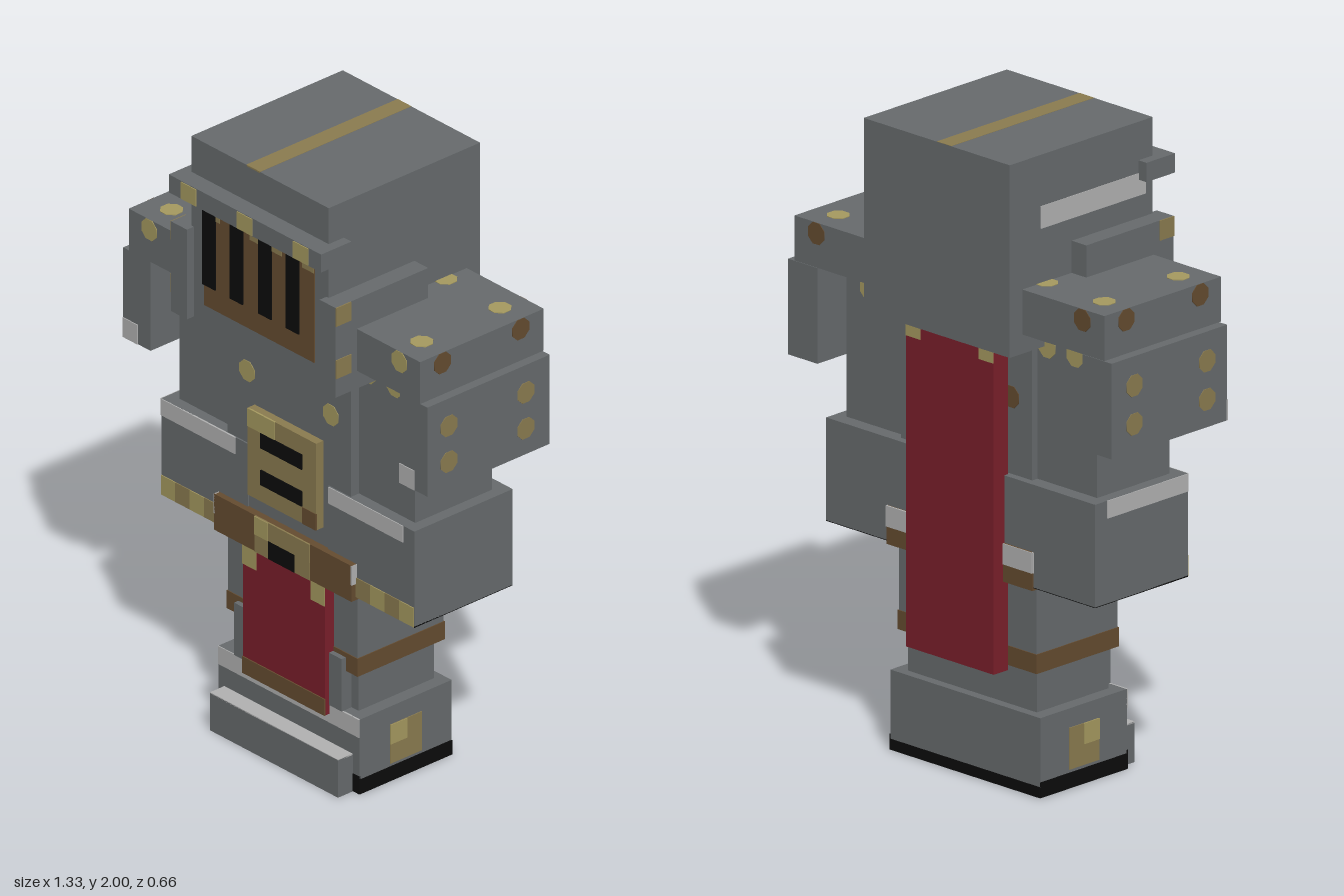
import * as THREE from 'three';

const mat = (name, color) => {
  const m = new THREE.MeshStandardMaterial({ color });
  m.name = name;
  return m;
};

export function createModel() {
  const steel = mat('steel', 0x676b6d);
  const light = mat('polished steel', 0xb2b2b2);
  const gold = mat('bright brass', 0xa69a60);
  const brass = mat('dark brass', 0x8b7c50);
  const brown = mat('brown leather', 0x654c30);
  const red = mat('red cloth', 0x7b1f2b);
  const black = mat('black', 0x0b0b0b);

  const model = new THREE.Group();
  model.name = 'armour';
  const T = 0.004; // thickness of painted plates

  // Box given by its extents
  const box = (name, m, x0, x1, y0, y1, z0, z1) => {
    const mesh = new THREE.Mesh(new THREE.BoxGeometry(x1 - x0, y1 - y0, z1 - z0), m);
    mesh.position.set((x0 + x1) / 2, (y0 + y1) / 2, (z0 + z1) / 2);
    mesh.name = name;
    model.add(mesh);
    return mesh;
  };
  // Same box on the left (s = 1) or the right (s = -1)
  const sided = (s, name, m, x0, x1, ...rest) =>
    s > 0 ? box(name, m, x0, x1, ...rest) : box(name, m, -x1, -x0, ...rest);
  // Thin plates facing front or back (d = 1 / -1), or sideways
  const plateZ = (name, m, x0, x1, y0, y1, z, d = 1) =>
    box(name, m, x0, x1, y0, y1, d > 0 ? z - T : z - T / 2, d > 0 ? z + T / 2 : z + T);
  const plateX = (name, m, x, y0, y1, z0, z1) =>
    box(name, m, x - T / 2, x + T / 2, y0, y1, z0, z1);
  // Octagonal rivet on a face whose normal is along an axis
  const rivetGeo = new THREE.CylinderGeometry(0.036, 0.036, T, 8).rotateY(Math.PI / 8);
  const rivet = (m, x, y, z, axis) => {
    const r = new THREE.Mesh(rivetGeo, m);
    r.position.set(x, y, z);
    if (axis === 'z') r.rotation.x = Math.PI / 2;
    if (axis === 'x') r.rotation.z = Math.PI / 2;
    r.name = 'rivet';
    model.add(r);
  };

  // Helmet
  box('helmet', steel, -0.3, 0.3, 1.4, 2, -0.33, 0.27);
  box('helmetStripe', brass, -0.06, 0, 2 - T, 2 + T / 4, -0.33, 0.27);
  plateX('helmetSideShine', light, -0.3, 1.77, 1.84, -0.2, 0.24);
  plateZ('visor', brown, -0.24, 0.24, 1.46, 1.82, 0.272);
  for (const [a, b] of [[-0.19, -0.17], [-0.04, 0], [0.055, 0.1], [0.19, 0.24]])
    plateZ('visorTrim', brass, a, b, 1.76, 1.82, 0.274);
  for (const x of [-0.217, -0.097, 0.028, 0.148])
    plateZ('visorSlot', black, x - 0.028, x + 0.028, 1.53, 1.82, 0.276);
  box('brim', steel, -0.333, 0.333, 1.82, 1.88, 0.21, 0.33);
  for (const x of [-0.245, 0, 0.245])
    plateZ('brimStud', gold, x - 0.033, x + 0.033, 1.822, 1.878, 0.331);

  // Torso
  box('torso', steel, -0.27, 0.27, 0.65, 1.4, -0.205, 0.155);
  plateZ('chestPlate', brass, -0.15, 0.15, 0.83, 1.12, 0.182);
  box('chestPlateBody', brass, -0.15, 0.15, 0.83, 1.12, 0.15, 0.18);
  plateZ('plateHighlight', gold, -0.15, -0.03, 1.06, 1.12, 0.184);
  plateZ('plateCorner', brown, 0.09, 0.15, 0.83, 0.885, 0.184);
  for (const y of [1.035, 0.912])
    plateZ('plateSlot', black, -0.09, 0.09, y - 0.025, y + 0.025, 0.186);

  // Cape
  box('cape', red, -0.18, 0.18, 0.37, 1.4, -0.275, -0.215);

  // Belt and buckle
  box('belt', brown, -0.3, 0.3, 0.65, 0.77, -0.235, 0.18);
  plateZ('beltBackShine', light, -0.3, 0.3, 0.705, 0.77, -0.236, -1);
  plateZ('buckle', brass, -0.12, 0.12, 0.71, 0.77, 0.182);
  plateZ('buckleHighlight', gold, -0.12, -0.06, 0.71, 0.77, 0.184);
  plateZ('buckleGap', black, -0.06, 0.055, 0.65, 0.71, 0.182);

  // Front cloth
  box('loincloth', red, -0.18, 0.18, 0.22, 0.65, 0.14, 0.175);
  plateZ('clothHem', brown, -0.18, 0.18, 0.22, 0.275, 0.177);

  // Legs
  box('thighs', steel, -0.283, 0.283, 0.38, 0.66, -0.2, 0.14);
  box('legBand', brown, -0.286, 0.286, 0.38, 0.44, -0.203, 0.143);
  box('shins', steel, -0.265, 0.265, 0.2, 0.38, -0.18, 0.12);

  // Boots
  box('boots', steel, -0.308, 0.308, 0, 0.25, -0.21, 0.155);
  box('toeCap', steel, -0.28, 0.28, 0, 0.125, 0.15, 0.215);
  box('toeShine', light, -0.28, 0.28, 0.122, 0.127, 0.158, 0.215);
  plateZ('bootShine', light, -0.308, 0.308, 0.19, 0.25, 0.156);
  plateZ('soleFront', black, -0.308, 0.308, 0.002, 0.06, 0.156);
  plateZ('soleBack', black, -0.308, 0.308, 0.002, 0.035, -0.211, -1);

  for (const s of [1, -1]) {
    // Cheek guards
    sided(s, 'cheekGuard', steel, 0.29, 0.36, 1.4, 1.7, -0.07, 0.297);
    for (const y of [1.67, 1.495]) plateX('cheekStud', brass, s * 0.361, y - 0.032, y + 0.03, 0.237, 0.297);

    // Shoulder pads with rivets
    sided(s, 'shoulderPad', steel, 0.24, 0.637, 1.46, 1.6, -0.277, 0.213);
    for (const z of [0.125, -0.185]) {
      rivet(gold, s * 0.547, 1.6, z, 'y');
      rivet(brown, s * 0.637, 1.566, z, 'x');
    }
    rivet(gold, s * 0.31, 1.6, -0.185, 'y');
    rivet(gold, s * 0.547, 1.566, 0.213, 'z');
    rivet(brown, s * 0.547, 1.566, -0.277, 'z');

    // Hanging arm plates
    sided(s, 'armPlate', steel, 0.545, 0.665, 1.16, 1.458, -0.275, 0.21);
    for (const z of [0.125, -0.18]) for (const y of [1.367, 1.247]) rivet(brass, s * 0.665, y, z, 'x');
    const shineX = s > 0 ? 0.545 : -0.665;
    plateZ('armPlateShine', light, shineX, shineX + 0.065, 1.16, 1.225, 0.211);

    // Arms and gauntlets
    sided(s, 'arm', steel, 0.27, 0.515, 0.9, 1.47, -0.183, 0.122);
    sided(s, 'gauntlet', steel, 0.175, 0.553, 0.66, 0.98, -0.23, 0.16);
    const gx = s > 0 ? 0.18 : -0.553;
    plateZ('gauntletShine', light, gx, gx + 0.325, 0.925, 0.98, 0.161);
    for (let i = 0; i < 4; i++) {
      const x = 0.3 + i * 0.063;
      const a = s > 0 ? x : -x - 0.063;
      plateZ('gauntletTrim', i % 2 ? gold : brass, a, a + 0.063, 0.66, 0.725, 0.161);
    }
    sided(s, 'gauntletUnderside', black, 0.175, 0.553, 0.658, 0.662, -0.23, 0.16);
    sided(s, 'beltSideShine', light, 0.297, 0.302, 0.705, 0.77, -0.235, 0.18);

    // Torso rivets, front and back
    for (const [z, az] of [[0.155, 0.122], [-0.205, -0.183]]) {
      rivet(z > 0 ? gold : brown, s * 0.183, 1.22, z, 'z');
      rivet(gold, s * 0.425, 1.4, az, 'z');
      rivet(gold, s * 0.31, 1.4, az, 'z');
    }

    // Corner trims on the cloth, cape and buckle
    sided(s, 'clothCorner', gold, 0.12, 0.18, 0.585, 0.65, 0.174, 0.178);
    sided(s, 'capeCorner', gold, 0.12, 0.18, 1.34, 1.4, -0.278, -0.274);
    sided(s, 'buckleEnd', brass, 0.055, 0.12, 0.65, 0.71, 0.179, 0.183);

    // Shin guards, boot buckles and soles
    sided(s, 'shinGuard', steel, 0.17, 0.235, 0.25, 0.425, 0.1, 0.16);
    plateX('bootBuckle', brass, s * 0.309, 0.06, 0.19, -0.09, 0.035);
    plateX('bootBuckleShine', gold, s * 0.311, 0.125, 0.19, -0.03, 0.035);
    plateX('soleSide', black, s * 0.309, 0.002, 0.05, -0.21, 0.155);
  }
  // Shine on the right gauntlet's outer side
  plateX('gauntletSideShine', light, -0.554, 0.925, 0.98, -0.18, 0.16);

  return model;
}
